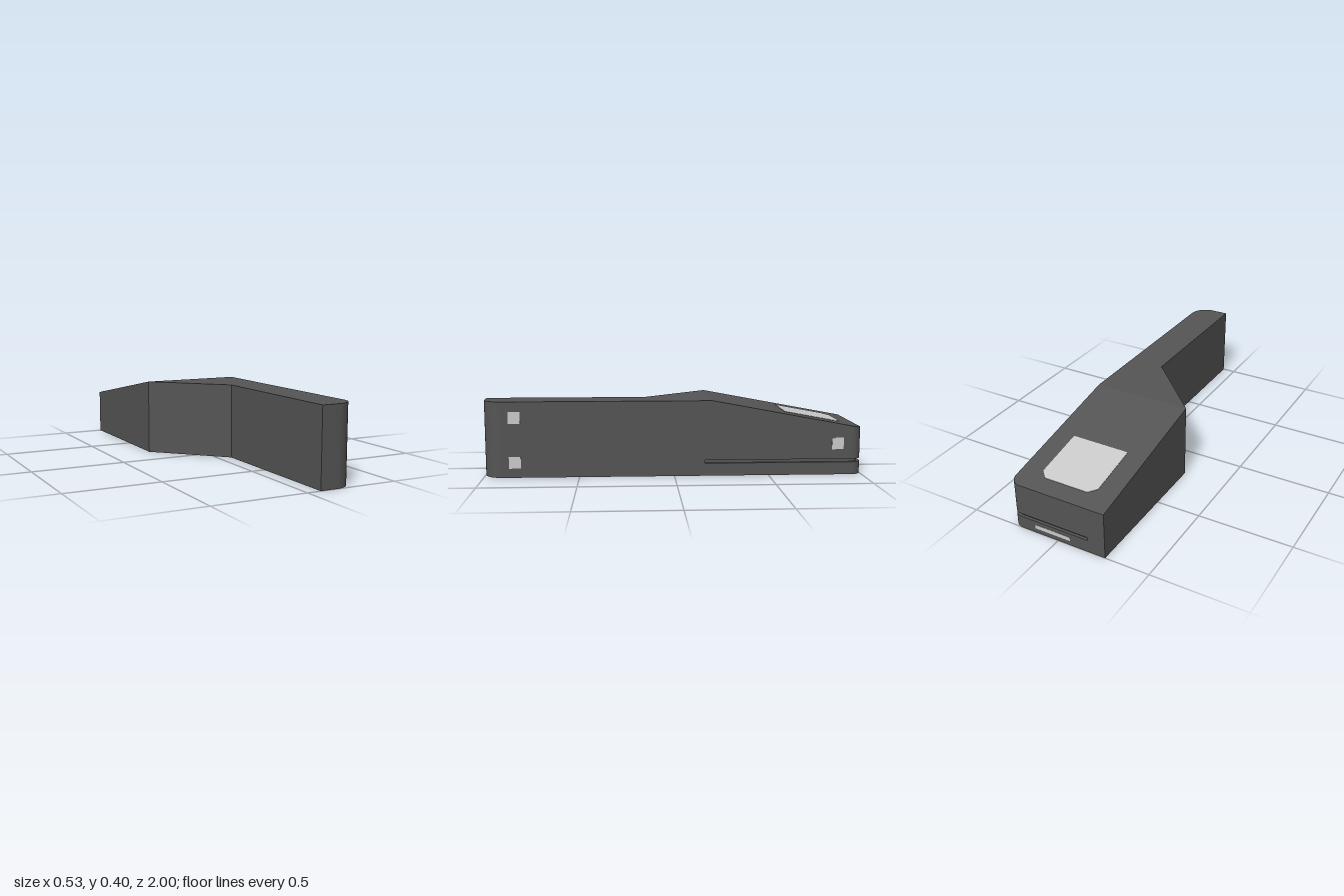
import * as THREE from 'three';
import { toCreasedNormals } from 'three/addons/utils/BufferGeometryUtils.js';

const W = 0.265, BEND = -0.2, GROOVE_DEPTH = 0.015;
const dark = new THREE.MeshStandardMaterial({ color: 0x555555 });
const grey = new THREE.MeshStandardMaterial({ color: 0xcccccc });

// Height of the top surface: flat at the front, sloping down to the back
const topY = z => (z >= BEND ? 0.4 : 0.4 - 0.15 * (BEND - z) / 0.8);

// Plan outline point; (nx, nz) is the outward direction where the groove cuts in
const pt = (x, z, nx = 0, nz = 0) => ({ x, z, nx, nz });

function corner(cx, cz, r, from, grooved) {
  return Array.from({ length: 17 }, (_, i) => {
    const t = from + (i / 16) * Math.PI / 2, c = Math.cos(t), s = Math.sin(t);
    return pt(cx + r * c, cz + r * s, grooved ? c : 0, grooved ? s : 0);
  });
}

function bodyGeometry() {
  const outline = [
    pt(-W, -1), pt(-0.17, -1), pt(-0.17, -1, 0, -1),
    ...corner(W - 0.055, -0.945, 0.055, -Math.PI / 2, true),
    pt(W, BEND, 1, 0), pt(W, -0.16, 1, 0), pt(W, -0.16),
    ...corner(W - 0.1, 0.9, 0.1, 0, false),
    pt(0.073, 1), pt(0.073, 0.15), pt(-W, BEND),
  ];
  const ring = (height, inset) => outline.map(p => [
    p.x - p.nx * inset, height ?? topY(p.z), p.z - p.nz * inset]);
  // Bottom edge, groove floor and ceiling, top edge
  const rings = [
    ring(0, 0), ring(0.067, 0), ring(0.067, GROOVE_DEPTH),
    ring(0.084, GROOVE_DEPTH), ring(0.084, 0), ring(null, 0),
  ];
  const pos = [];
  const tri = (a, b, c) => pos.push(...a, ...b, ...c);

  // Walls between neighbouring rings
  for (let r = 0; r < rings.length - 1; r++) {
    const lo = rings[r], hi = rings[r + 1];
    lo.forEach((a, i) => {
      const j = (i + 1) % lo.length;
      tri(a, hi[i], hi[j]);
      tri(a, hi[j], lo[j]);
    });
  }
  // Flat caps, wound to face up or down
  const cap = (points, up) => {
    const flat = points.map(p => new THREE.Vector2(p[0], p[2]));
    for (const [i, j, k] of THREE.ShapeUtils.triangulateShape(flat, [])) {
      const a = flat[i], b = flat[j], c = flat[k];
      const facesUp = (b.y - a.y) * (c.x - a.x) - (b.x - a.x) * (c.y - a.y) > 0;
      if (facesUp === up) tri(points[i], points[j], points[k]);
      else tri(points[i], points[k], points[j]);
    }
  };
  cap(rings[0], false);
  cap(rings[5].filter(p => p[2] <= BEND), true);
  cap(rings[5].filter(p => p[2] >= BEND), true);

  const g = new THREE.BufferGeometry();
  g.setAttribute('position', new THREE.Float32BufferAttribute(pos, 3));
  return toCreasedNormals(g, 0.15);
}

// Thin panel with clipped rear corners, laid on the sloping top
function panelGeometry() {
  const shape = new THREE.Shape([
    [-0.157, 0.603], [0.157, 0.603], [0.157, 0.873],
    [0.12, 0.91], [-0.12, 0.91], [-0.157, 0.873],
  ].map(p => new THREE.Vector2(...p)));
  const g = new THREE.ExtrudeGeometry(shape, { depth: 0.002, bevelEnabled: false });
  g.rotateX(-Math.PI / 2);
  const p = g.attributes.position;
  for (let i = 0; i < p.count; i++) p.setY(i, p.getY(i) + topY(p.getZ(i)));
  g.computeVertexNormals();
  return g;
}

export function createModel() {
  const group = new THREE.Group();
  const add = (name, geometry, material, x = 0, y = 0, z = 0) => {
    const mesh = new THREE.Mesh(geometry, material);
    mesh.name = name;
    mesh.position.set(x, y, z);
    group.add(mesh);
  };
  add('body', bodyGeometry(), dark);
  add('topPanel', panelGeometry(), grey);

  // Square pads on the long straight side
  const pad = new THREE.BoxGeometry(0.004, 0.062, 0.062);
  add('upperFrontPad', pad, grey, W, 0.316, 0.835);
  add('lowerFrontPad', pad, grey, W, 0.08, 0.835);
  add('rearPad', pad, grey, W, 0.167, -0.87);

  // Narrow strip on the back, under the groove
  add('backStrip', new THREE.BoxGeometry(0.2, 0.021, 0.004), grey, 0.03, 0.035, -0.999);
  return group;
}
